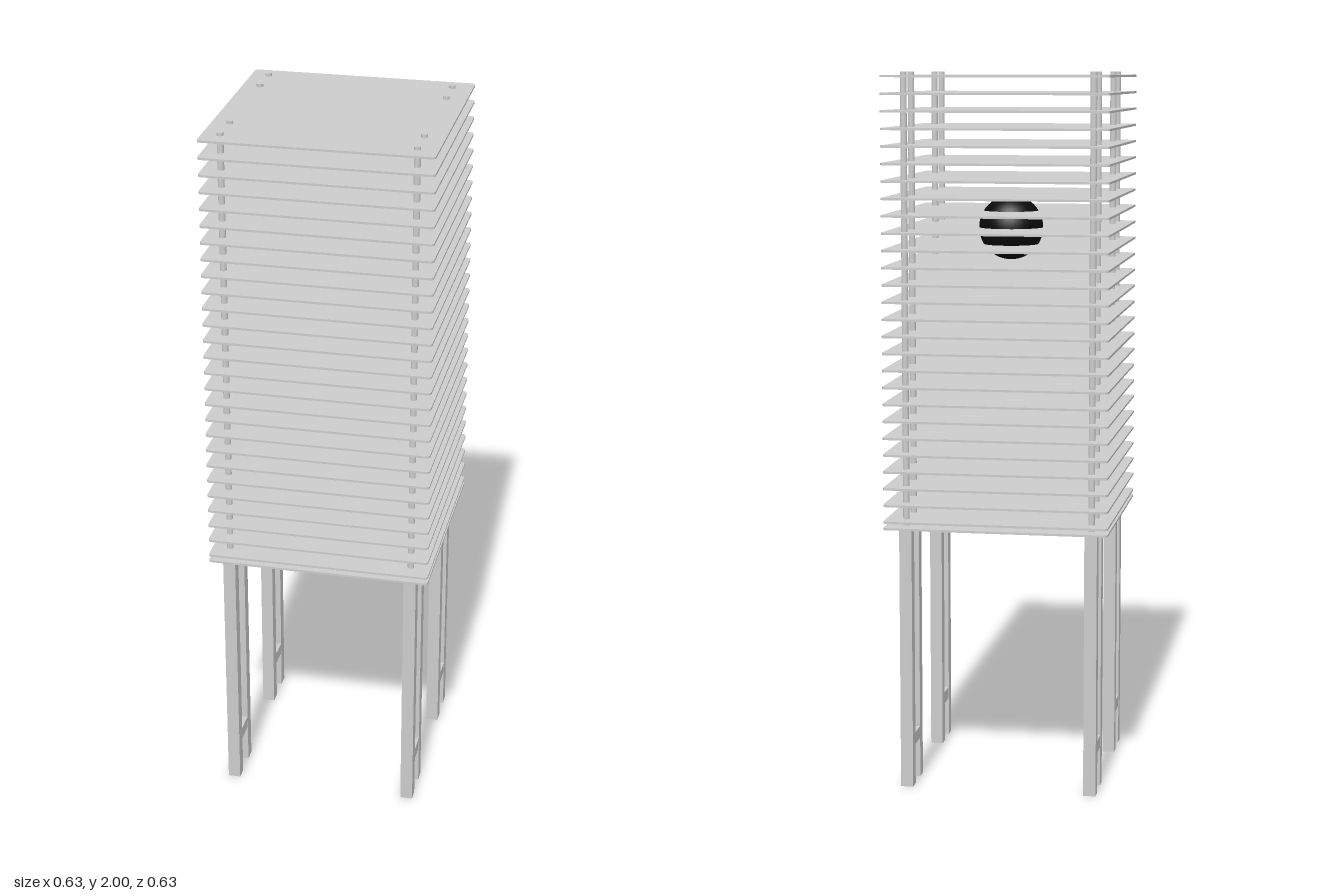
import * as THREE from 'three';

const grey = new THREE.MeshStandardMaterial({ color: 0xcccccc });
const black = new THREE.MeshStandardMaterial({ color: 0x0a0a0a });

// Square sheet with slightly rounded corners, lying flat and centred on its thickness
function plateGeometry(half, r, thickness) {
  const s = new THREE.Shape();
  s.moveTo(-half + r, -half);
  s.absarc(half - r, -half + r, r, -Math.PI / 2, 0);
  s.absarc(half - r, half - r, r, 0, Math.PI / 2);
  s.absarc(-half + r, half - r, r, Math.PI / 2, Math.PI);
  s.absarc(-half + r, -half + r, r, Math.PI, Math.PI * 1.5);
  return new THREE.ExtrudeGeometry(s, { depth: thickness, bevelEnabled: false, curveSegments: 5 })
    .translate(0, 0, -thickness / 2)
    .rotateX(-Math.PI / 2);
}

export function createModel() {
  const model = new THREE.Group();
  model.name = 'plateTower';

  const add = (name, geometry, x, y, z, material = grey) => {
    const mesh = new THREE.Mesh(geometry, material);
    mesh.name = name;
    mesh.position.set(x, y, z);
    model.add(mesh);
  };

  const xs = [-0.263, 0.257];
  const zs = [-0.261, -0.162, 0.162, 0.261];
  const baseY = 0.748;

  // Base plate and the stack of evenly spaced plates
  const plate = plateGeometry(0.313, 0.01, 0.006);
  add('basePlate', plate, 0, baseY, 0);
  const count = 27, bottom = 0.766, top = 1.988;
  for (let i = 0; i < count; i++) {
    add('plate', plate, 0, bottom + ((top - bottom) * i) / (count - 1), 0);
  }

  // Square legs below, each carrying on as a thin round rod through the stack
  const legTop = baseY - 0.003;
  const leg = new THREE.BoxGeometry(0.035, legTop, 0.035);
  const rod = new THREE.CylinderGeometry(0.009, 0.009, 2 - baseY, 20);
  // Short bars tying each pair of legs together
  const bar = new THREE.BoxGeometry(0.034, 0.034, 0.066);
  for (const x of xs) {
    for (const z of zs) {
      add('leg', leg, x, legTop / 2, z);
      add('rod', rod, x, (2 + baseY) / 2, z);
    }
    for (const side of [-1, 1]) add('crossBar', bar, x, 0.131, side * 0.2115);
  }

  // Washer around one front rod, just above the base plate
  add('washer', new THREE.CylinderGeometry(0.032, 0.032, 0.012, 24), -0.263, 0.757, 0.261);

  // Dark ball held inside the stack
  add('ball', new THREE.SphereGeometry(0.09, 32, 24), 0, 1.568, -0.03, black);

  return model;
}
